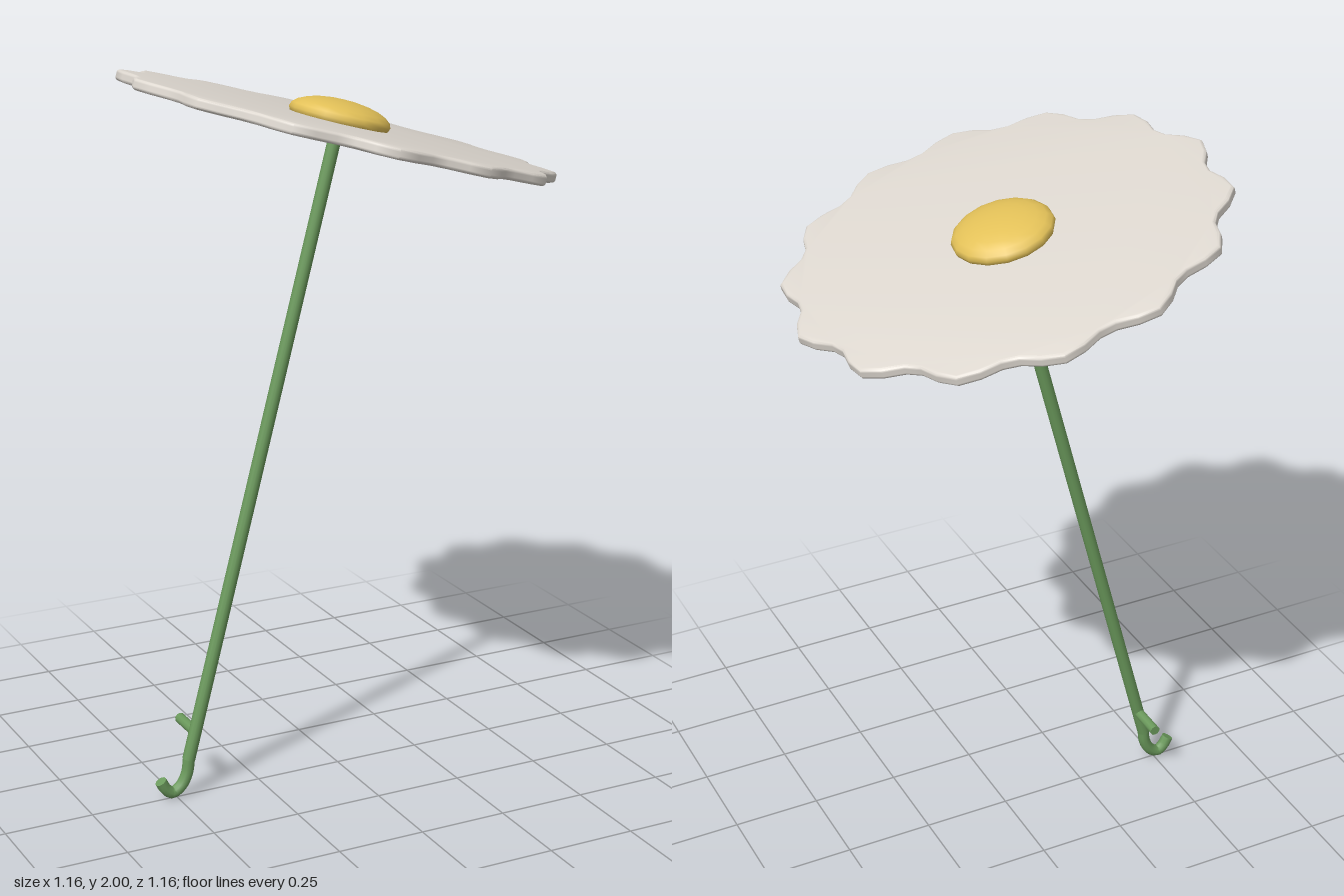
import * as THREE from 'three';
import { toCreasedNormals } from 'three/addons/utils/BufferGeometryUtils.js';

const TILT = Math.PI / 12;
const HEAD_Y = 1.832;
const STEM_R = 0.018;
const STEM_LENGTH = 1.785;

const petalMat = new THREE.MeshStandardMaterial({ color: 0xded8d0 });
const centreMat = new THREE.MeshStandardMaterial({ color: 0xe3c158 });
const stemMat = new THREE.MeshStandardMaterial({ color: 0x6b9a5c });

function part(name, geometry, material, parent) {
  const mesh = new THREE.Mesh(geometry, material);
  mesh.name = name;
  parent.add(mesh);
  return mesh;
}

// Scalloped disc: 14 petals, five outline points each, with a rounded rim
function petalDisc() {
  const petals = 14, perPetal = 5, bevel = 0.009, thickness = 0.03;
  const points = [];
  for (let i = 0; i < petals * perPetal; i++) {
    const a = (i / (petals * perPetal)) * Math.PI * 2;
    const r = 0.573 + 0.023 * Math.cos(petals * a) - bevel;
    points.push(new THREE.Vector2(r * Math.cos(a), r * Math.sin(a)));
  }
  const geometry = new THREE.ExtrudeGeometry(new THREE.Shape(points), {
    depth: thickness - 2 * bevel,
    bevelEnabled: true, bevelSize: bevel, bevelThickness: bevel, bevelSegments: 3,
  });
  geometry.translate(0, 0, bevel - thickness / 2);
  geometry.rotateX(-Math.PI / 2);
  return toCreasedNormals(geometry, 0.75);
}

export function createModel() {
  const model = new THREE.Group();
  model.name = 'flowerParasol';

  // Flower head and straight stem share one tilted axis
  const tilted = new THREE.Group();
  tilted.name = 'flower';
  tilted.position.y = HEAD_Y;
  tilted.rotation.z = -TILT;
  model.add(tilted);

  part('petals', petalDisc(), petalMat, tilted);

  const centre = part('flowerCentre', new THREE.SphereGeometry(0.138, 16, 12), centreMat, tilted);
  centre.scale.y = 0.34;
  centre.position.y = 0.026;

  const stem = part('stem', new THREE.CylinderGeometry(STEM_R, STEM_R, STEM_LENGTH, 12), stemMat, tilted);
  stem.position.y = -STEM_LENGTH / 2;

  // Curled handle at the foot of the stem
  const handle = new THREE.Group();
  handle.name = 'handle';
  model.add(handle);
  const path = new THREE.CatmullRomCurve3([
    [-0.461, 0.112], [-0.468, 0.068], [-0.486, 0.034],
    [-0.512, 0.018], [-0.532, 0.032], [-0.547, 0.058],
  ].map(([x, y]) => new THREE.Vector3(x, y, 0)));
  part('handleHook', new THREE.TubeGeometry(path, 16, 0.017, 10), stemMat, handle);

  const cap = part('handleTip', new THREE.CircleGeometry(0.017, 10), stemMat, handle);
  cap.position.copy(path.getPoint(1));
  cap.lookAt(path.getPoint(1).add(path.getTangent(1)));

  // Small peg standing out behind the stem
  const peg = part('peg', new THREE.CylinderGeometry(0.015, 0.015, 0.105, 10), stemMat, model);
  peg.rotation.x = Math.PI / 2;
  peg.position.set(-0.441, 0.186, -0.0525);

  return model;
}
